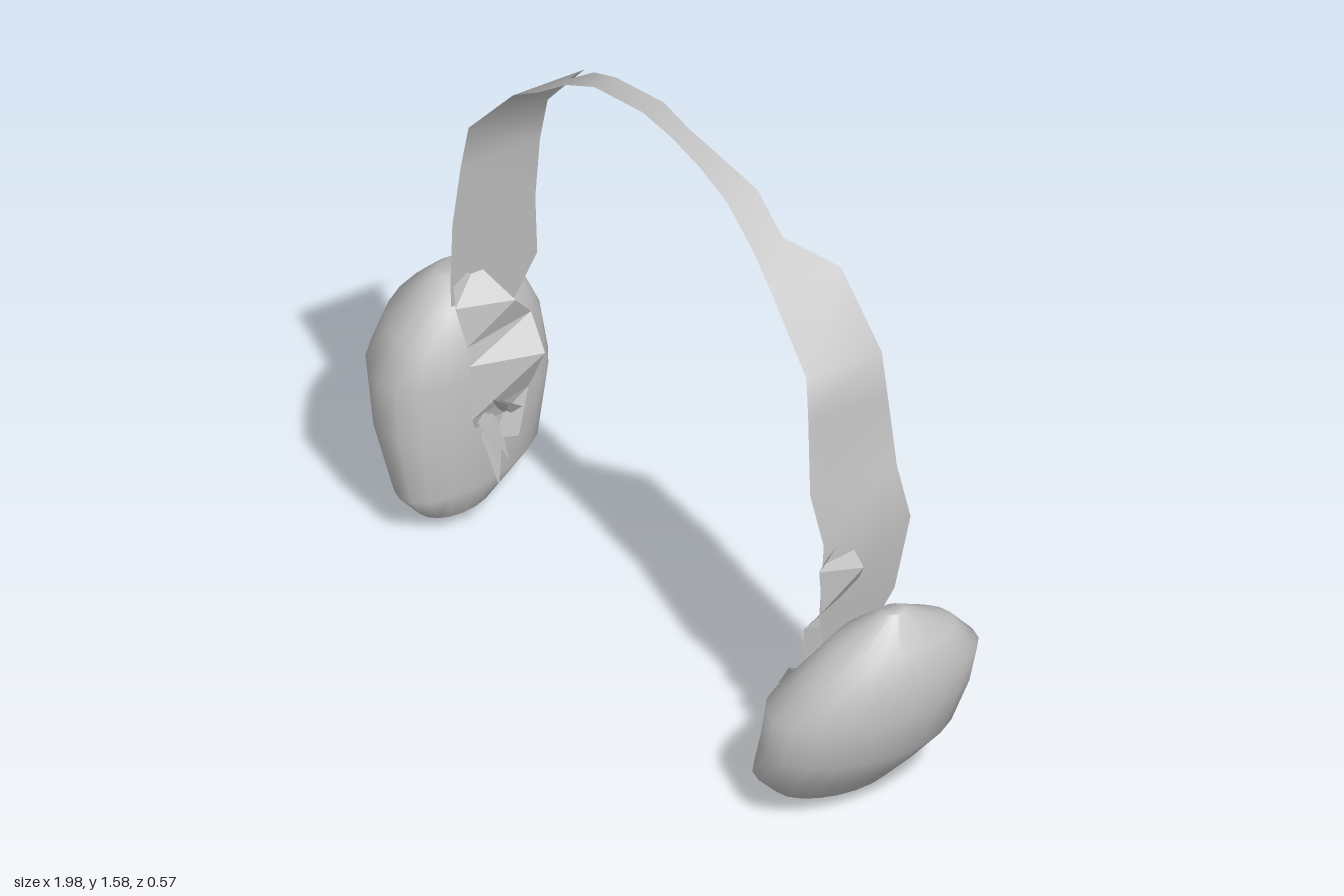
import * as THREE from 'three';

const grey = new THREE.MeshStandardMaterial({ color: 0xc0c0c0, side: THREE.DoubleSide });
grey.name = 'light grey';

function meshFrom(name, points, index, flat) {
  let geo = new THREE.BufferGeometry();
  geo.setAttribute('position', new THREE.Float32BufferAttribute(points.flat(), 3));
  geo.setIndex(index);
  if (flat) geo = geo.toNonIndexed();
  geo.computeVertexNormals();
  const mesh = new THREE.Mesh(geo, grey);
  mesh.name = name;
  return mesh;
}

// Closed ear cup from level rings [y, xMin, xMax, zBack, zFront], turned slightly by yaw
function earCup(name, rings, yaw) {
  const n = 20, points = [], index = [];
  for (const [y, x0, x1, z0, z1] of rings) {
    for (let i = 0; i < n; i++) {
      const a = i / n * Math.PI * 2;
      const z = (z0 + z1) / 2 + (z1 - z0) / 2 * Math.sin(a);
      points.push([(x0 + x1) / 2 + (x1 - x0) / 2 * Math.cos(a) + yaw * z, y, z]);
    }
  }
  const top = points.length - n;
  for (let a = 0; a < top; a++) {
    const b = a % n === n - 1 ? a - n + 1 : a + 1;
    index.push(a, a + n, b, b, a + n, b + n);
  }
  // end caps
  for (let i = 1; i < n - 1; i++) index.push(0, i, i + 1, top, top + i + 1, top + i);
  return meshFrom(name, points, index, false);
}

// Open ribbon through stations [x, y, zFront, zBack]; wide parts lean, crumple kinks the edges
function ribbon(name, stations, crumple) {
  const points = [], index = [];
  stations.forEach(([x, y, zf, zb], i) => {
    const lean = 0.2 * Math.max(0, zf - zb - 0.1), kink = crumple * (i % 2 ? 1 : -1);
    points.push([x - kink, y + kink, zf], [x + lean + kink, y, zb]);
    if (i) {
      const k = i * 2;
      index.push(k - 2, k, k - 1, k - 1, k, k + 1);
    }
  });
  return meshFrom(name, points, index, crumple > 0);
}

// Torn hinge: jagged leaves fanning inwards from a root point, side is the direction in x
function tornHinge(name, x, y, side, reach) {
  const points = [], index = [], leaves = 7;
  for (let i = 0; i < leaves; i++) {
    const a = i / leaves * Math.PI * 2, k = points.length;
    const out = side * reach * (0.55 + 0.45 * Math.cos(a - 1));
    const dy = 0.11 * Math.cos(a + 2.4), dz = 0.1 * Math.sin(a + 0.4), w = 0.03 + 0.01 * (i % 3);
    points.push(
      [x, y, 0.02],
      [x + out / 2, y + dy / 2 + w, 0.02 + dz / 2 + w],
      [x + out / 2, y + dy / 2 - w, 0.02 + dz / 2 - w / 2],
      [x + out, y + dy, 0.02 + dz],
    );
    index.push(k, k + 2, k + 1, k + 1, k + 2, k + 3);
  }
  return meshFrom(name, points, index, true);
}

export function createModel() {
  const model = new THREE.Group();
  model.name = 'headphones';

  // Headband: wide on the sides, narrow across the top
  model.add(ribbon('headband', [
    [-0.71, 0.58, 0.09, -0.09],
    [-0.7, 0.7, 0.1, -0.14],
    [-0.68, 0.88, 0.11, -0.12],
    [-0.66, 1.06, 0.1, -0.12],
    [-0.63, 1.19, 0.1, -0.12],
    [-0.47, 1.37, 0.09, -0.11],
    [-0.37, 1.435, 0.09, 0],
    [-0.27, 1.51, 0.085, 0],
    [-0.16, 1.565, 0.085, 0.02],
    [0.02, 1.59, 0.08, 0.015],
    [0.13, 1.58, 0.08, 0.025],
    [0.24, 1.555, 0.08, 0.015],
    [0.35, 1.51, 0.08, -0.01],
    [0.45, 1.425, 0.08, -0.01],
    [0.52, 1.345, 0.08, -0.115],
    [0.67, 1.18, 0.09, -0.12],
    [0.69, 1.07, 0.1, -0.12],
    [0.71, 0.87, 0.11, -0.13],
    [0.75, 0.74, 0.1, -0.14],
    [0.72, 0.52, 0.09, -0.12],
    [0.71, 0.4, 0.07, -0.06],
  ], 0));

  // Ear cups, leaning outwards at the top
  model.add(earCup('leftEarCup', [
    [0.02, 0.74, 0.78, 0.04, 0.12],
    [0.06, 0.66, 0.84, -0.09, 0.22],
    [0.13, 0.64, 0.9, -0.15, 0.285],
    [0.22, 0.655, 0.965, -0.2, 0.29],
    [0.33, 0.665, 0.985, -0.24, 0.285],
    [0.42, 0.71, 0.98, -0.25, 0.2],
    [0.5, 0.76, 0.955, -0.18, 0.13],
    [0.57, 0.84, 0.89, -0.05, 0.01],
  ], -0.12));
  model.add(earCup('rightEarCup', [
    [0.01, -0.77, -0.72, 0, 0.1],
    [0.05, -0.83, -0.67, -0.07, 0.18],
    [0.13, -0.86, -0.64, -0.22, 0.25],
    [0.3, -0.955, -0.635, -0.28, 0.27],
    [0.44, -0.99, -0.635, -0.26, 0.27],
    [0.55, -0.95, -0.65, -0.2, 0.22],
    [0.62, -0.88, -0.7, -0.1, 0.14],
    [0.65, -0.84, -0.78, -0.03, 0.06],
  ], 0.18));

  // Bent yokes running from the band down the inner side of each cup
  model.add(ribbon('rightYoke', [
    [-0.69, 0.72, 0.11, 0.02],
    [-0.64, 0.64, 0.12, -0.03],
    [-0.65, 0.56, 0.1, -0.1],
    [-0.61, 0.48, 0.1, -0.09],
    [-0.63, 0.36, 0.1, -0.08],
    [-0.63, 0.24, 0.06, -0.04],
  ], 0.015));
  model.add(ribbon('leftYoke', [
    [0.75, 0.73, 0.1, 0.02],
    [0.76, 0.65, 0.11, 0],
    [0.73, 0.56, 0.1, -0.02],
    [0.7, 0.45, 0.11, -0.08],
    [0.66, 0.35, 0.1, -0.1],
    [0.64, 0.25, 0.07, -0.06],
  ], 0.015));

  // Torn hinge pieces on the inner faces
  model.add(tornHinge('rightHinge', -0.65, 0.34, 1, 0.16));
  model.add(tornHinge('leftHinge', 0.68, 0.3, -1, 0.12));
  return model;
}
